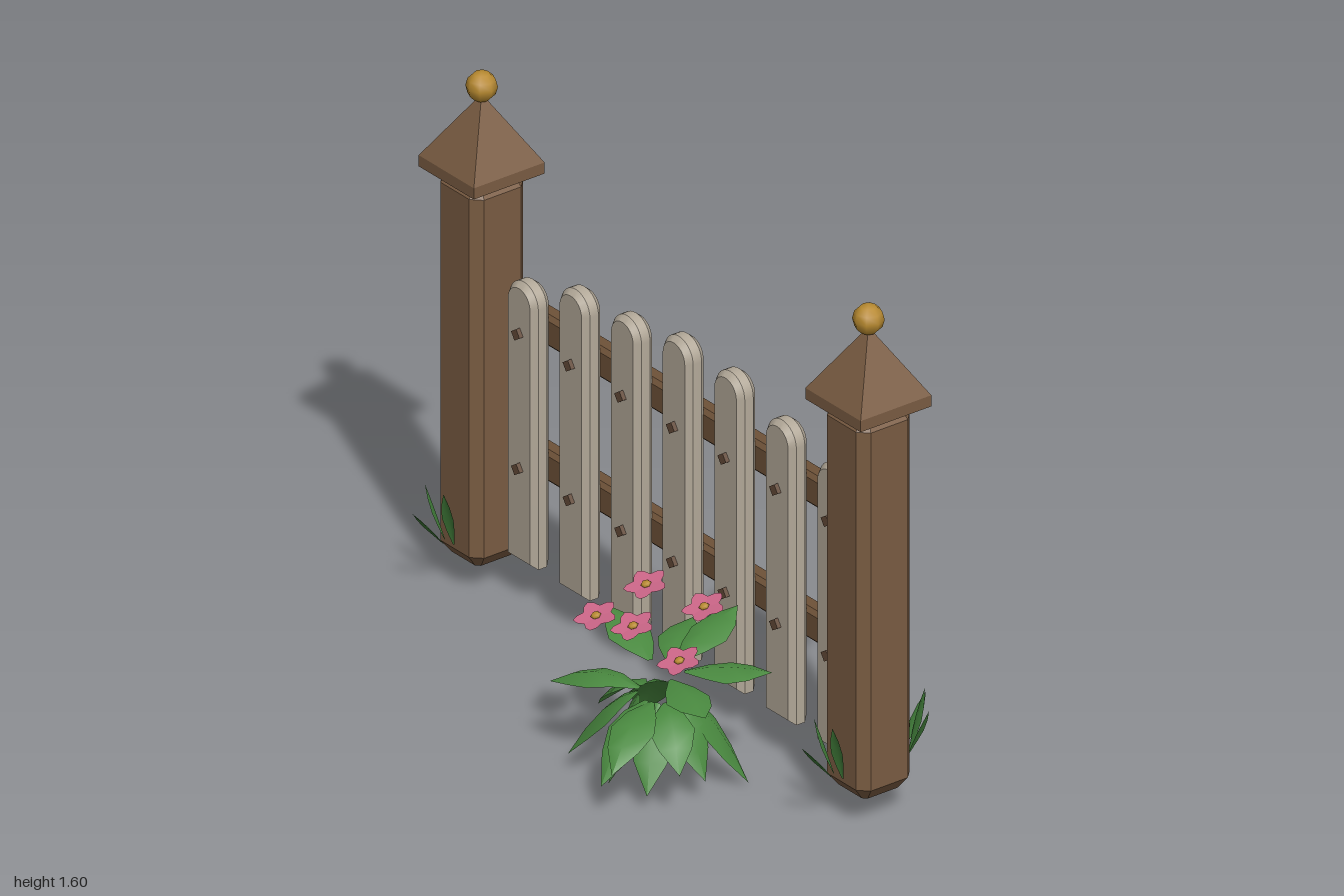
import * as THREE from 'three';
import { toCreasedNormals } from 'three/addons/utils/BufferGeometryUtils.js';

const mat = (name, color, extra = {}) => new THREE.MeshStandardMaterial({ name, color, ...extra });
const V = (x, y, z) => new THREE.Vector3(x, y, z);

// Box with chamfered edges, long axis along z, starting at z = 0
function chamferedBeam(w, h, length, edge, endInset, endDepth) {
  const a = w / 2 - endInset, b = h / 2 - endInset, c = edge;
  const shape = new THREE.Shape([
    [-a + c, -b], [a - c, -b], [a, -b + c], [a, b - c], [a - c, b], [-a + c, b], [-a, b - c], [-a, -b + c],
  ].map(([x, y]) => new THREE.Vector2(x, y)));
  const geo = new THREE.ExtrudeGeometry(shape, {
    depth: length - 2 * endDepth, bevelSize: endInset, bevelThickness: endDepth, bevelSegments: 1,
  });
  return geo.translate(0, 0, endDepth);
}

// Tapered blade or leaf along a curved spine with a folded midrib
function leafGeometry(base, tip, width, arch, fold) {
  const mid = base.clone().lerp(tip, 0.5).add(V(0, arch, 0));
  const curve = new THREE.QuadraticBezierCurve3(base, mid, tip);
  const side = V(tip.z - base.z, 0, base.x - tip.x).normalize();
  const widths = [0.12, 0.68, 1, 0.72, 0];
  const pos = [], index = [];
  widths.forEach((k, i) => {
    const t = i / (widths.length - 1);
    const p = curve.getPoint(t);
    const normal = curve.getTangent(t).cross(side).normalize();
    for (const s of [-1, 0, 1]) {
      const q = p.clone().addScaledVector(side, s * k * width / 2)
        .addScaledVector(normal, -Math.abs(s) * k * fold);
      pos.push(q.x, q.y, q.z);
    }
    if (i) for (let j = 0; j < 2; j++) {
      const a = (i - 1) * 3 + j, b = a + 3;
      index.push(a, b, a + 1, a + 1, b, b + 1);
    }
  });
  const geo = new THREE.BufferGeometry();
  geo.setAttribute('position', new THREE.Float32BufferAttribute(pos, 3));
  geo.setIndex(index);
  geo.computeVertexNormals();
  return geo;
}

export function createModel() {
  const postWood = mat('post wood', 0x7a5c42);
  const railWood = mat('rail wood', 0x6e5238);
  const paleWood = mat('pale wood', 0xb2a898);
  const gold = mat('gold', 0xb88a30);
  const nailBrown = mat('nail brown', 0x634a38);
  const leafGreen = mat('leaf green', 0x4a8a40, { side: THREE.DoubleSide });
  const grassGreen = mat('grass green', 0x3f7a38, { side: THREE.DoubleSide });
  const pink = mat('petal pink', 0xcc6688, { side: THREE.DoubleSide });

  const model = new THREE.Group();
  model.name = 'picketFence';
  const add = (name, geo, material, parent = model) => {
    const mesh = new THREE.Mesh(geo, material);
    mesh.name = name;
    parent.add(mesh);
    return mesh;
  };

  // Posts with pyramid caps and ball finials
  const postGeo = chamferedBeam(0.19, 0.19, 1.21, 0.012, 0.03, 0.04).rotateX(-Math.PI / 2);
  const R = 0.125 * Math.SQRT2;
  const rimGeo = new THREE.CylinderGeometry(R, R, 0.035, 4).rotateY(Math.PI / 4).toNonIndexed();
  const capGeo = new THREE.ConeGeometry(R, 0.205, 4, 1, true).rotateY(Math.PI / 4).toNonIndexed();
  rimGeo.computeVertexNormals();
  capGeo.computeVertexNormals();
  for (const s of [-1, 1]) {
    const post = new THREE.Group();
    post.name = s > 0 ? 'leftPost' : 'rightPost';
    post.position.set(0.875 * s, 0, -0.21);
    model.add(post);
    add('postBody', postGeo, postWood, post).position.y = 0.095;
    add('capRim', rimGeo, postWood, post).position.y = 1.3175;
    add('capPyramid', capGeo, postWood, post).position.y = 1.4375;
    add('ballFinial', new THREE.SphereGeometry(0.046, 8, 6), gold, post).position.y = 1.565;
  }

  // Rails
  for (const y of [0.43, 0.857]) {
    const geo = chamferedBeam(0.06, 0.1, 1.57, 0.004, 0.015, 0.015).rotateY(Math.PI / 2);
    add('rail', geo, railWood).position.set(-0.785, y, -0.303);
  }

  // Pickets with rounded tops, two nails each
  const tops = [1.012, 1.087, 1.102, 1.135, 1.122, 1.067, 1.027];
  tops.forEach((top, i) => {
    const x = -0.705 + i * 0.2335, bevel = 0.015, hw = 0.065 - bevel, bottom = 0.13 + bevel;
    const shape = new THREE.Shape();
    shape.moveTo(-hw, bottom);
    shape.lineTo(hw, bottom);
    shape.lineTo(hw, top - 0.065);
    shape.absarc(0, top - 0.065, hw, 0, Math.PI, false);
    const geo = new THREE.ExtrudeGeometry(shape, {
      depth: 0.03, bevelSize: bevel, bevelThickness: 0.018, bevelSegments: 1, curveSegments: 8,
    });
    add('picket', toCreasedNormals(geo, 0.6), paleWood).position.set(x, 0, -0.257);
    for (const y of [0.43, 0.855]) {
      const nail = add('nail', new THREE.BoxGeometry(0.028, 0.028, 0.02), nailBrown);
      nail.position.set(x, y, -0.206);
      nail.rotation.z = 0.6;
    }
  });

  // Leafy bush: leaves spread from a hollow centre to these tips
  const bush = new THREE.Group();
  bush.name = 'bush';
  model.add(bush);
  const tips = [
    [0.31, 0.43, -0.19], [0.17, 0.35, -0.14], [0.58, 0.36, -0.1], [0.05, 0.4, 0.06], [0.65, 0.34, 0.19],
    [0.06, 0.24, 0.28], [0.52, 0.18, 0.42], [0.3, 0.01, 0.26], [0.55, 0.02, -0.04], [0.11, 0.07, -0.02],
    [0.42, 0.09, 0.38], [0.61, 0.16, 0.25], [0.18, 0.07, 0.31], [0.56, 0.08, 0.12], [0.1, 0.14, 0.14],
    [0.36, 0.06, -0.07], [0.5, 0.06, 0.28],
  ];
  for (const [x, y, z] of tips) {
    const out = V(x - 0.36, 0, z - 0.12).normalize();
    const high = y > 0.3;
    const base = V(0.36, high ? 0.35 : 0.28, 0.12).addScaledVector(out, 0.065);
    add('leaf', leafGeometry(base, V(x, y, z), 0.13, high ? 0.03 : 0.08, 0.02), leafGreen, bush);
  }

  // Five-petalled flowers tilted to the front
  const petal = new THREE.Shape();
  petal.moveTo(0, 0);
  petal.lineTo(0.026, 0.034);
  petal.lineTo(0.016, 0.055);
  petal.lineTo(0, 0.066);
  petal.lineTo(-0.016, 0.055);
  petal.lineTo(-0.026, 0.034);
  const petalGeo = new THREE.ShapeGeometry(petal).rotateX(-Math.PI / 2);
  const flowers = [[0.28, 0.58, 0.11], [0.2, 0.485, 0.225], [0.4, 0.545, 0.25], [0.395, 0.52, -0.005], [0.52, 0.462, 0.18]];
  for (const p of flowers) {
    const flower = new THREE.Group();
    flower.name = 'flower';
    flower.position.set(...p);
    flower.rotation.x = 0.32;
    bush.add(flower);
    for (let i = 0; i < 5; i++) {
      add('petal', petalGeo, pink, flower).rotation.set(0.08, i * Math.PI * 0.4, 0, 'YXZ');
    }
    const heart = add('flowerHeart', new THREE.SphereGeometry(0.016, 6, 4), gold, flower);
    heart.scale.y = 0.5;
    heart.position.y = 0.004;
  }

  // Grass tufts before and behind each post: base offset, then tip
  const blades = [
    [-0.02, -0.1, -0.06, 0.33, -0.06], [0.02, -0.1, 0.05, 0.35, -0.04], [0, -0.08, 0.0, 0.29, 0.03],
    [-0.01, -0.33, -0.02, 0.31, -0.425], [0.02, -0.33, 0.09, 0.32, -0.35], [0.01, -0.34, 0.02, 0.35, -0.39],
    [0, -0.32, 0.03, 0.33, -0.315],
  ];
  for (const s of [-1, 1]) {
    const tuft = new THREE.Group();
    tuft.name = 'grassTuft';
    model.add(tuft);
    for (const [bx, bz, tx, ty, tz] of blades) {
      const x = 0.88 * s;
      const geo = leafGeometry(V(x + bx, 0.16, bz), V(x + tx, ty, tz), 0.036, 0.01, 0.006);
      add('grassBlade', geo, grassGreen, tuft);
    }
  }
  return model;
}
